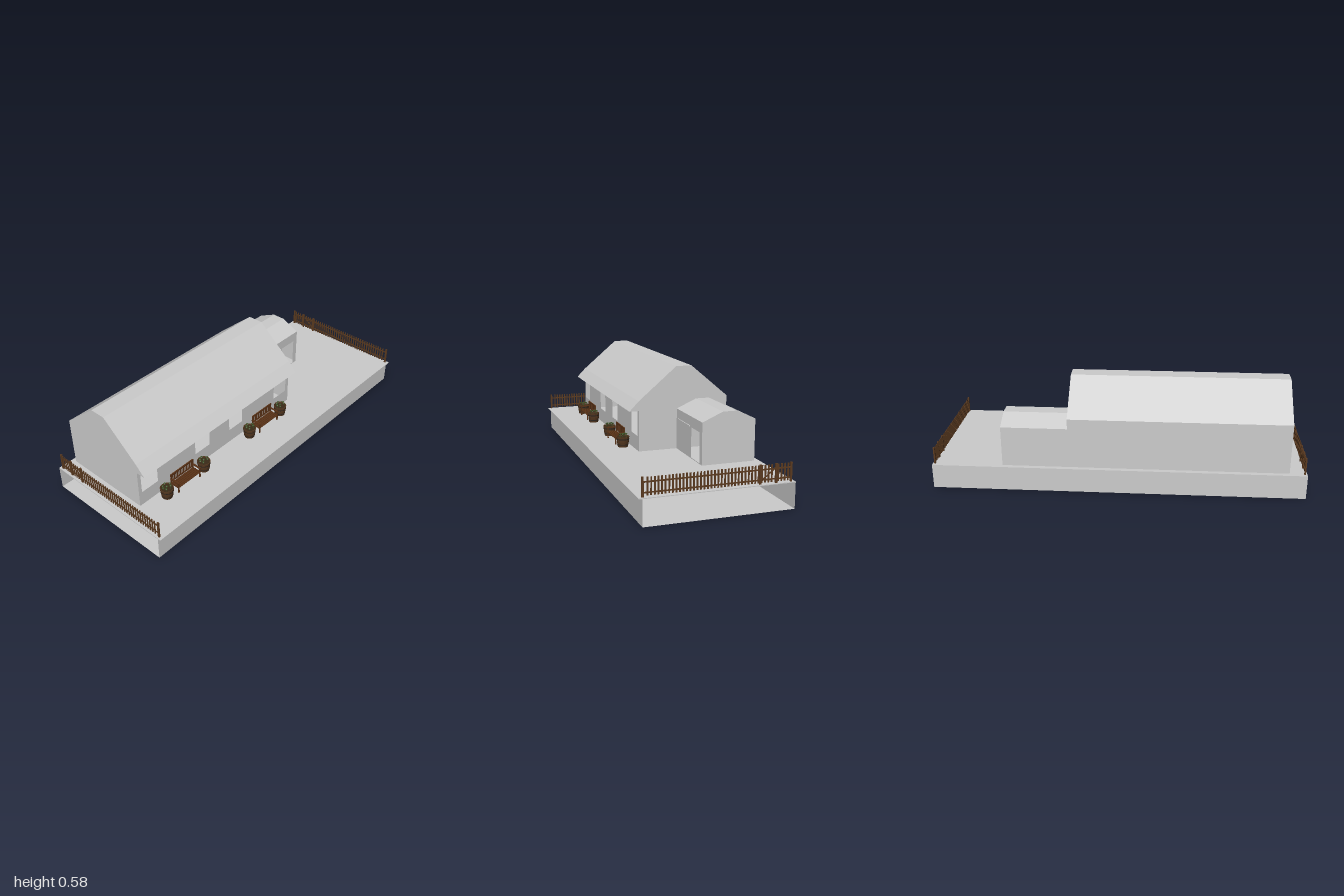
import * as THREE from 'three';

const grey = new THREE.MeshStandardMaterial({ color: 0xcccccc, side: THREE.DoubleSide, flatShading: true });
const paint = (color) => new THREE.MeshStandardMaterial({ color, flatShading: true });
const fenceWood = paint(0x5c3b20);
const benchWood = paint(0x5a3216);
const potWood = paint(0x54371f);
const iron = paint(0x2a2420);
const soil = paint(0x3a2a18);
const leaf = paint(0x3d5226);
const GROUND = 0.134;

function add(parent, name, geometry, material, x = 0, y = 0, z = 0) {
  const mesh = new THREE.Mesh(geometry, material);
  mesh.name = name;
  mesh.position.set(x, y, z);
  parent.add(mesh);
  return mesh;
}

const box = (parent, name, material, w, h, d, x, y, z) =>
  add(parent, name, new THREE.BoxGeometry(w, h, d), material, x, y, z);

function group(parent, name, x = 0, y = 0, z = 0) {
  const g = new THREE.Group();
  g.name = name;
  g.position.set(x, y, z);
  parent.add(g);
  return g;
}

const outline = (points) => new THREE.Shape(points.map(([x, y]) => new THREE.Vector2(x, y)));

// Thin sheet following a profile of [x, y] points from z0 to z1
function sheet(points, z0, z1) {
  const pos = [];
  for (let i = 0; i < points.length - 1; i++) {
    const [ax, ay] = points[i], [bx, by] = points[i + 1];
    pos.push(ax, ay, z0, ax, ay, z1, bx, by, z1, ax, ay, z0, bx, by, z1, bx, by, z0);
  }
  const geo = new THREE.BufferGeometry();
  geo.setAttribute('position', new THREE.Float32BufferAttribute(pos, 3));
  geo.computeVertexNormals();
  return geo;
}

// Wall facing +x with rectangular openings given as [z0, z1, y0, y1]
function sideWall(z0, z1, top, openings) {
  const rect = (a, b, lo, hi) => [[-b, lo], [-a, lo], [-a, hi], [-b, hi]];
  const shape = outline(rect(z0, z1, GROUND, top));
  for (const o of openings) shape.holes.push(outline(rect(...o)));
  return new THREE.ShapeGeometry(shape).rotateY(Math.PI / 2);
}

function buildPlatform(root) {
  const g = group(root, 'platform');
  box(g, 'platformTop', grey, 0.77, 0.004, 2, 0, 0.132, 0);
  // Open-ended base: two sides and a floor
  add(g, 'platformBase', sheet([[-0.385, 0.13], [-0.385, 0], [0.367, 0], [0.367, 0.13]], -1, 1), grey);
}

function buildHouse(root) {
  const g = group(root, 'house');
  const z0 = -0.265, z1 = 0.908;
  const roof = [[-0.36, 0.41], [-0.152, 0.585], [-0.065, 0.585], [0.145, 0.408], [0.197, 0.355]];
  const gable = outline([[-0.36, GROUND], [0.145, GROUND], [0.145, 0.355], ...[...roof].reverse()]);
  add(g, 'frontGable', new THREE.ShapeGeometry(gable), grey, 0, 0, z1);
  add(g, 'backGable', new THREE.ShapeGeometry(gable), grey, 0, 0, z0);
  add(g, 'roof', sheet(roof, z0, z1), grey);
  add(g, 'eaveSoffit', sheet([[0.197, 0.355], [0.145, 0.355]], z0, z1), grey);
  add(g, 'rightWall', sheet([[-0.36, GROUND], [-0.36, 0.41]], z0, z1), grey);
  const windows = [[0.78, 0.888], [0.402, 0.51], [0.14, 0.246], [-0.24, -0.134]];
  add(g, 'windowWall', sideWall(z0, z1, 0.355, windows.map(([a, b]) => [a, b, 0.214, 0.353])), grey, 0.145);
}

function buildAnnex(root) {
  const g = group(root, 'annex');
  const z0 = -0.62, z1 = -0.265;
  const roof = [[-0.36, 0.355], [-0.255, 0.403], [-0.18, 0.403], [-0.07, 0.355]];
  const end = outline([[-0.36, GROUND], [-0.07, GROUND], ...[...roof].reverse()]);
  add(g, 'annexEndWall', new THREE.ShapeGeometry(end), grey, 0, 0, z0);
  add(g, 'annexRoof', sheet(roof, z0, z1), grey);
  add(g, 'annexRightWall', sheet([[-0.36, GROUND], [-0.36, 0.355]], z0, z1), grey);
  add(g, 'annexDoorWall', sideWall(z0, z1, 0.355, [[-0.588, -0.476, 0.138, 0.298]]), grey, -0.07);
  box(g, 'wallLedge', grey, 0.006, 0.006, 0.165, -0.068, 0.302, -0.375);
}

function buildFence(root, name, z) {
  const g = group(root, name, 0, 0, z);
  const posts = [-0.365, -0.288, -0.207, 0.363];
  for (const x of posts) box(g, 'fencePost', fenceWood, 0.01, 0.094, 0.008, x, 0.181, 0);
  // Rails between neighbouring posts
  for (let i = 0; i < 3; i++) {
    const w = posts[i + 1] - posts[i];
    for (const y of [0.155, 0.204])
      box(g, 'fenceRail', fenceWood, w, 0.007, 0.003, posts[i] + w / 2, y, -0.002);
  }
  // Evenly spaced pickets
  for (let x = -0.35; x < 0.36; x += 0.0168) {
    if (posts.some((p) => Math.abs(p - x) < 0.008)) continue;
    box(g, 'picket', fenceWood, 0.008, 0.085, 0.003, x, 0.1825, 0.001);
  }
  // Gate brace
  const brace = box(g, 'gateBrace', fenceWood, 0.076, 0.006, 0.003, -0.247, 0.18, -0.003);
  brace.rotation.z = -Math.atan2(0.045, 0.06);
}

function buildBench(root, z) {
  const g = group(root, 'bench', 0.165, GROUND, z);
  const half = 0.077;
  for (const s of [-1, 1]) {
    box(g, 'backLeg', benchWood, 0.006, 0.088, 0.007, 0.004, 0.044, s * half);
    box(g, 'frontLeg', benchWood, 0.006, 0.058, 0.007, 0.055, 0.029, s * half);
    box(g, 'armRest', benchWood, 0.06, 0.005, 0.009, 0.03, 0.06, s * half);
    box(g, 'sideRail', benchWood, 0.05, 0.005, 0.005, 0.03, 0.03, s * half);
  }
  for (let i = 0; i < 5; i++)
    box(g, 'seatSlat', benchWood, 0.009, 0.004, 0.16, 0.01 + i * 0.0115, 0.036, 0);
  box(g, 'topRail', benchWood, 0.006, 0.009, 0.162, 0.004, 0.086, 0);
  box(g, 'lowerRail', benchWood, 0.005, 0.006, 0.156, 0.004, 0.046, 0);
  for (let i = 0; i < 13; i++)
    box(g, 'backSlat', benchWood, 0.003, 0.038, 0.005, 0.004, 0.065, -0.066 + i * 0.011);
}

function buildPlanter(root, z) {
  const g = group(root, 'barrelPlanter', 0.195, GROUND, z);
  const profile = [[0, 0], [0.028, 0], [0.033, 0.028], [0.036, 0.058], [0.032, 0.058], [0.031, 0.05]];
  add(g, 'barrel', new THREE.LatheGeometry(profile.map(([r, y]) => new THREE.Vector2(r, y)), 16), potWood);
  for (const [y, r] of [[0.014, 0.0312], [0.044, 0.0352]])
    add(g, 'barrelHoop', new THREE.CylinderGeometry(r + 0.0005, r, 0.005, 16, 1, true), iron, 0, y, 0);
  add(g, 'soil', new THREE.CircleGeometry(0.032, 16).rotateX(-Math.PI / 2), soil, 0, 0.052, 0);
  // Small plants: a stem with a leafy tuft
  for (let i = 0; i < 7; i++) {
    const a = i * 2.4, r = i ? 0.02 : 0, h = 0.014 + (i % 3) * 0.004;
    const x = Math.cos(a) * r, pz = Math.sin(a) * r;
    add(g, 'stem', new THREE.CylinderGeometry(0.001, 0.001, h, 4), leaf, x, 0.052 + h / 2, pz);
    add(g, 'leaves', new THREE.IcosahedronGeometry(0.007, 0).scale(1, 0.6, 1), leaf, x, 0.052 + h, pz);
  }
}

export function createModel() {
  const root = new THREE.Group();
  root.name = 'cottageOnPlatform';
  buildPlatform(root);
  buildHouse(root);
  buildAnnex(root);
  buildFence(root, 'frontFence', 0.987);
  buildFence(root, 'backFence', -0.987);
  for (const z of [0.635, 0]) {
    buildBench(root, z);
    for (const s of [-1, 1]) buildPlanter(root, z + s * 0.134);
  }
  return root;
}
